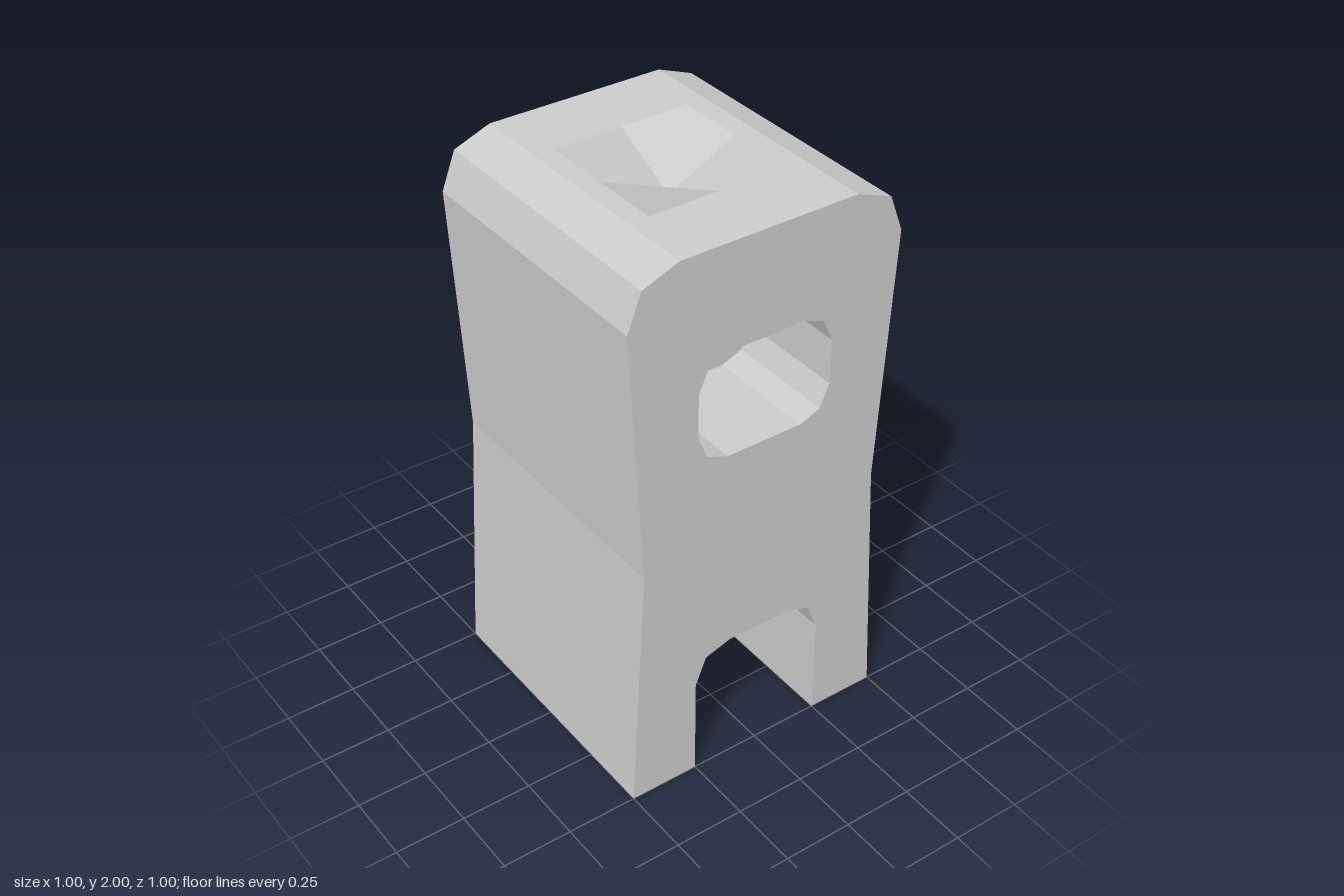
import * as THREE from 'three';

const material = new THREE.MeshStandardMaterial({ color: 0xcccccc });

// Right halves of the side outlines as [z, y], from bottom to top
const BODY = [[0.115, 0.5], [0.21, 0.47], [0.25, 0.37], [0.25, 0], [0.5, 0],
  [0.45, 0.92], [0.5, 1.82], [0.45, 1.95], [0.32, 2]];
const RECESS = [[0.14, 1.25], [0.215, 1.28], [0.25, 1.36], [0.25, 1.52], [0.215, 1.6], [0.14, 1.63]];
const HALF_WIDTH = 0.5, RECESS_FLOOR = 0.1, TOP = 2;
const PIT = 0.25, PIT_DEPTH = 0.125;

// Complete a half outline by mirroring it across z = 0
const mirrored = (half) => [...half, ...half.map(([z, y]) => [-z, y]).reverse()];
const toVectors = (pts) => pts.map(([a, b]) => new THREE.Vector2(a, b));
const rectangle = (w, d) => toVectors([[-w, -d], [w, -d], [w, d], [-w, d]]);

function add(group, name, geometry) {
  const mesh = new THREE.Mesh(geometry, material);
  mesh.name = name;
  group.add(mesh);
  return mesh;
}

// Flat faces swept along x around a closed [z, y] outline
function sweep(outline, x0, x1, skip = () => false) {
  const pos = [];
  outline.forEach((a, i) => {
    const b = outline[(i + 1) % outline.length];
    if (skip(a, b)) return;
    const [A, B, C, D] = [[x0, a], [x1, a], [x1, b], [x0, b]].map(([x, [z, y]]) => [x, y, z]);
    pos.push(...A, ...B, ...C, ...A, ...C, ...D);
  });
  const geometry = new THREE.BufferGeometry();
  geometry.setAttribute('position', new THREE.Float32BufferAttribute(pos, 3));
  geometry.computeVertexNormals();
  return geometry;
}

// Shallow pit in four quarters, each shaded with one normal
function pitGeometry() {
  const pos = [], nor = [];
  for (const sx of [-1, 1]) for (const sz of [-1, 1]) {
    const corner = [sx * PIT, TOP, sz * PIT], centre = [0, TOP - PIT_DEPTH, 0];
    let m1 = [sx * PIT, TOP, 0], m2 = [0, TOP, sz * PIT];
    if (sx * sz < 0) [m1, m2] = [m2, m1];
    pos.push(...corner, ...m1, ...m2, ...centre, ...m2, ...m1);
    const slope = PIT_DEPTH / (2 * PIT);
    const n = new THREE.Vector3(-sx * slope, 1, -sz * slope).normalize();
    for (let i = 0; i < 6; i++) nor.push(n.x, n.y, n.z);
  }
  const geometry = new THREE.BufferGeometry();
  geometry.setAttribute('position', new THREE.Float32BufferAttribute(pos, 3));
  geometry.setAttribute('normal', new THREE.Float32BufferAttribute(nor, 3));
  return geometry;
}

export function createModel() {
  const group = new THREE.Group();
  group.name = 'archedBlock';
  const body = mirrored(BODY), recess = mirrored(RECESS);

  // Front, back, feet and arch; the top is a separate panel
  add(group, 'shell', sweep(body, -HALF_WIDTH, HALF_WIDTH, (a, b) => a[1] === TOP && b[1] === TOP));

  // Top panel with the square pit
  const topShape = new THREE.Shape(rectangle(HALF_WIDTH, 0.32));
  topShape.holes.push(new THREE.Path(rectangle(PIT, PIT)));
  add(group, 'topPanel', new THREE.ShapeGeometry(topShape).rotateX(-Math.PI / 2).translate(0, TOP, 0));
  add(group, 'topPit', pitGeometry());

  // Side walls, each with a blind recess
  const sideShape = new THREE.Shape(toVectors(body));
  sideShape.holes.push(new THREE.Path(toVectors(recess)));
  const floorShape = new THREE.Shape(toVectors(recess));
  const inward = [...recess].reverse();
  for (const [side, s] of [['left', 1], ['right', -1]]) {
    const panel = (shape, x) => new THREE.ShapeGeometry(shape).rotateY(s * Math.PI / 2).translate(s * x, 0, 0);
    add(group, side + 'Wall', panel(sideShape, HALF_WIDTH));
    add(group, side + 'RecessFloor', panel(floorShape, RECESS_FLOOR));
    const [x0, x1] = s > 0 ? [RECESS_FLOOR, HALF_WIDTH] : [-HALF_WIDTH, -RECESS_FLOOR];
    add(group, side + 'RecessRim', sweep(inward, x0, x1));
  }
  return group;
}
